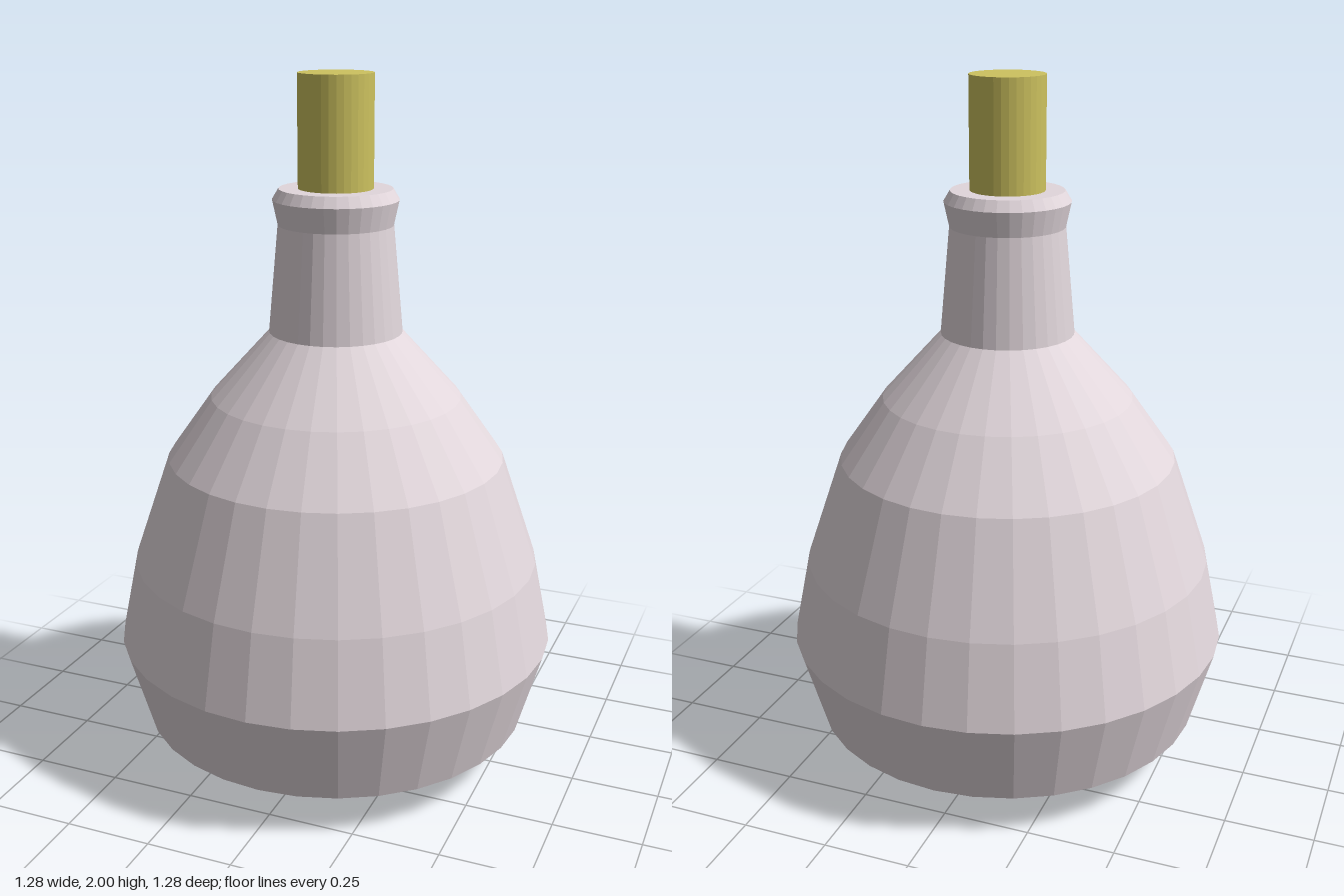
import * as THREE from 'three';

const SIDES = 32;

export function createModel() {
  const model = new THREE.Group();
  model.name = 'corkedFlask';

  const glass = new THREE.MeshStandardMaterial({ color: 0xe2d7dc, flatShading: true });
  const corkMaterial = new THREE.MeshStandardMaterial({ color: 0xcdc25f, flatShading: true });

  const addLathe = (name, profile) => {
    const points = profile.map(([r, y]) => new THREE.Vector2(r, y));
    const mesh = new THREE.Mesh(new THREE.LatheGeometry(points, SIDES), glass);
    mesh.name = name;
    model.add(mesh);
  };

  // Bulbous body, from the flat base up to the shoulder
  addLathe('body', [
    [0, 0], [0.34, 0], [0.571, 0.122], [0.642, 0.37], [0.593, 0.61],
    [0.487, 0.92], [0.36, 1.1], [0.19, 1.287],
  ]);

  // Tapered neck with a flared, bevelled lip closed around the cork
  addLathe('neck', [
    [0.19, 1.287], [0.162, 1.59], [0.177, 1.66], [0.159, 1.69], [0, 1.69],
  ]);

  // Cork, pushed a little way into the neck
  const cork = new THREE.Mesh(new THREE.CylinderGeometry(0.105, 0.105, 0.4, SIDES), corkMaterial);
  cork.name = 'cork';
  cork.position.y = 1.8;
  model.add(cork);

  return model;
}
